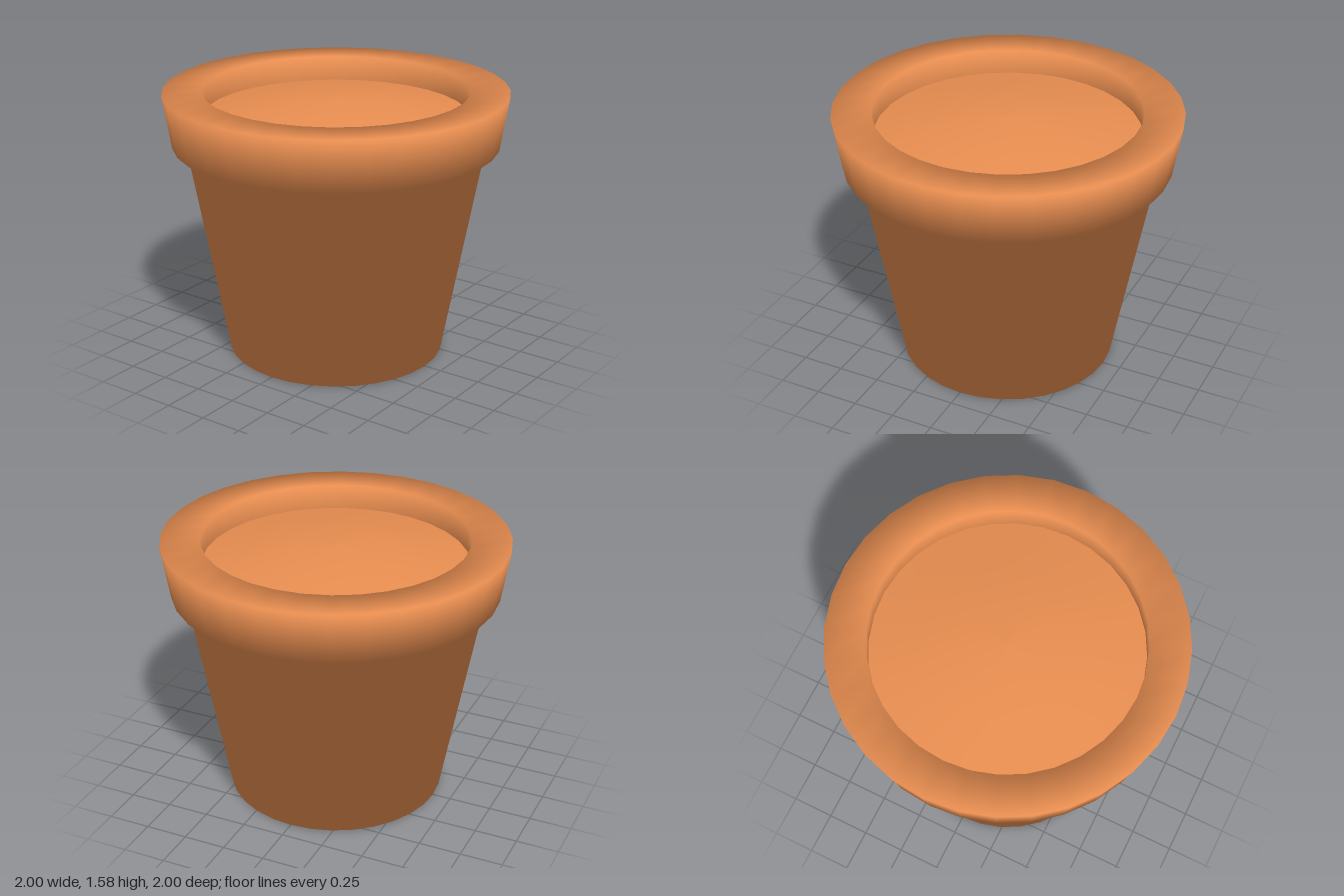
import * as THREE from 'three';

const SIDES = 32;

// Lathe whose corner normals are the even average of the two adjoining bands
function softLathe(points) {
  const geometry = new THREE.LatheGeometry(points.map(([r, y]) => new THREE.Vector2(r, y)), SIDES);
  const bands = points.slice(1).map(([r, y], i) =>
    new THREE.Vector2(y - points[i][1], points[i][0] - r).normalize());
  const corners = points.map((_, i) =>
    (bands[i - 1] ?? bands[i]).clone().add(bands[i] ?? bands[i - 1]).normalize());
  const normals = geometry.attributes.normal;
  for (let v = 0; v < normals.count; v++) {
    const angle = Math.floor(v / points.length) / SIDES * Math.PI * 2;
    const n = corners[v % points.length];
    normals.setXYZ(v, n.x * Math.sin(angle), n.y, n.x * Math.cos(angle));
  }
  return geometry;
}

export function createModel() {
  const group = new THREE.Group();
  group.name = 'flowerPot';
  const clay = new THREE.MeshStandardMaterial({ color: 0xe78d50 });

  const add = (name, points) => {
    const mesh = new THREE.Mesh(softLathe(points), clay);
    mesh.name = name;
    group.add(mesh);
  };

  // Recessed base, foot, tapered wall, flared collar and inner lip
  add('potShell', [
    [0, 0.12], [0.49, 0.12], [0.49, 0], [0.64, 0], [0.87, 1.27],
    [0.95, 1.27], [1, 1.58], [0.77, 1.58], [0.77, 1.43],
  ]);

  // Low mound of soil inside the lip
  add('soil', [[0.77, 1.43], [0.66, 1.45], [0.45, 1.49], [0.22, 1.52], [0, 1.53]]);

  return group;
}
